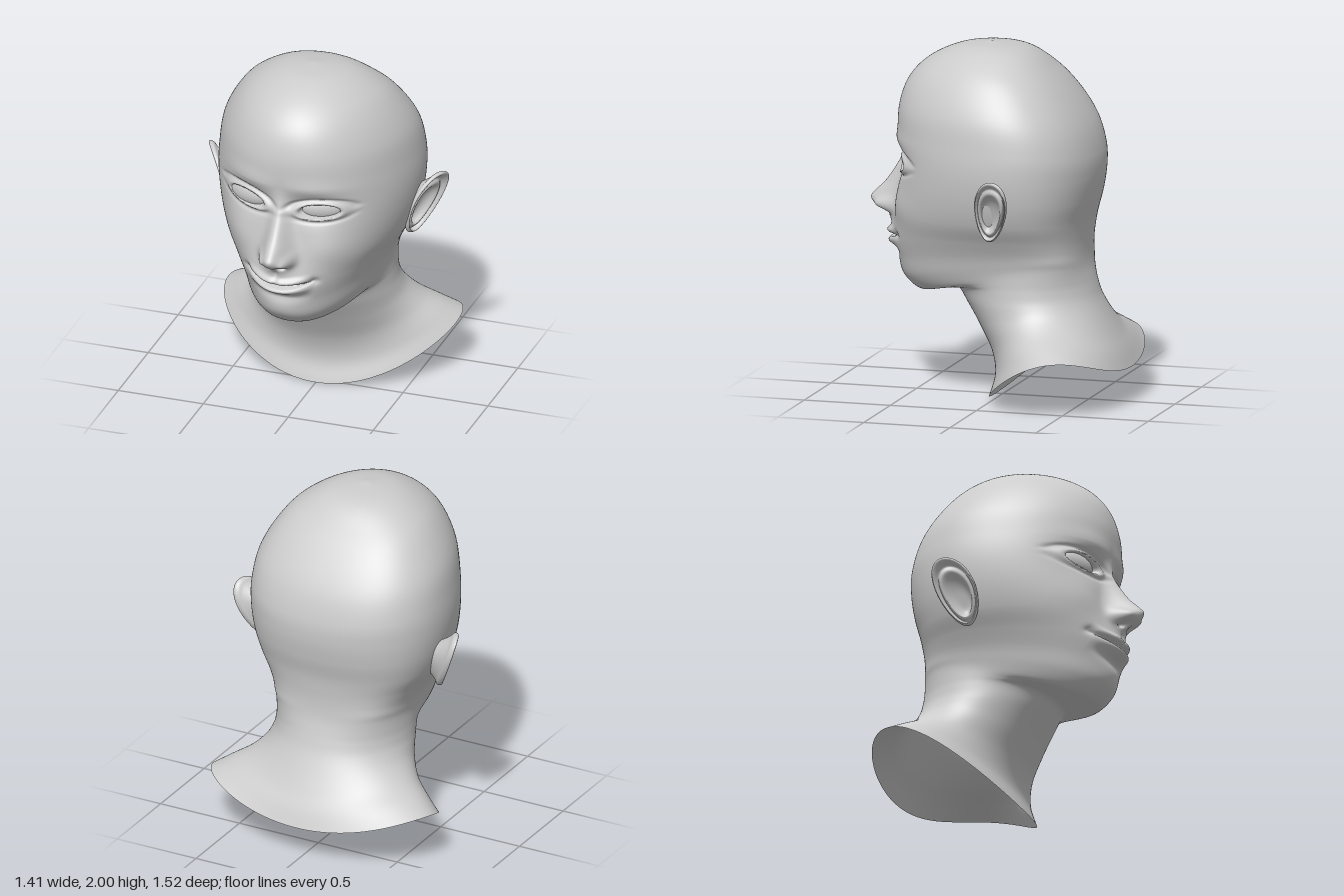
import * as THREE from 'three';
import { mergeVertices } from 'three/addons/utils/BufferGeometryUtils.js';

const skin = new THREE.MeshStandardMaterial({ color: 0xcccccc, side: THREE.DoubleSide });

// Smooth surface from a rule: fn(row, column) gives a point
function grid(rows, cols, fn) {
  const pos = [], index = [], n = cols.length;
  rows.forEach((u, i) => cols.forEach((v, j) => {
    pos.push(...fn(u, v));
    if (i < rows.length - 1 && j < n - 1) {
      const a = i * n + j, b = a + n;
      index.push(a, b, a + 1, b, b + 1, a + 1);
    }
  }));
  let geo = new THREE.BufferGeometry();
  geo.setAttribute('position', new THREE.Float32BufferAttribute(pos, 3));
  geo.setIndex(index);
  geo = mergeVertices(geo, 1e-5);
  geo.computeVertexNormals();
  return geo;
}

const range = (n, f) => Array.from({ length: n + 1 }, (_, i) => f(i / n));
const rail = pts => new THREE.CatmullRomCurve3(pts.map(p => new THREE.Vector3(...p)), false, 'catmullrom', 0.5);
const bump = (x, y, cx, cy, rx, ry) => Math.exp(-(((x - cx) / rx) ** 2) - ((y - cy) / ry) ** 2);
const step = THREE.MathUtils.smoothstep;

// Rails of the loft, crown to neckline. Front: roundness, y, z
const front = rail([
  [1, 2, .06], [1, 1.975, .25], [1, 1.895, .42], [.95, 1.78, .53], [.92, 1.63, .58],
  [.88, 1.47, .582], [.82, 1.33, .565], [.77, 1.18, .57], [.76, 1.03, .585], [.78, .9, .59],
  [.82, .78, .58], [.86, .66, .555], [.92, .582, .46], [.95, .61, .34], [.95, .625, .25],
  [.95, .54, .185], [.95, .4, .1], [1, .26, .03], [1, .13, .005], [1, 0, .04]]);
// Side: half width, y, z
const side = rail([
  [0, 2, .06], [.2, 1.97, .02], [.36, 1.88, -.02], [.46, 1.77, -.05], [.54, 1.62, -.08],
  [.57, 1.46, -.1], [.575, 1.32, -.1], [.555, 1.17, -.1], [.515, 1.04, -.1], [.46, .94, -.11],
  [.42, .86, -.13], [.4, .8, -.15], [.39, .755, -.16], [.388, .7, -.17], [.39, .65, -.18],
  [.4, .58, -.2], [.43, .5, -.25], [.5, .425, -.32], [.6, .365, -.38], [.69, .31, -.43]]);
// Back: roundness, y, z
const back = rail([
  [1, 2, .06], [1, 1.96, -.15], [1, 1.84, -.3], [.95, 1.7, -.42], [.92, 1.55, -.51],
  [.9, 1.4, -.555], [.9, 1.28, -.56], [.9, 1.15, -.54], [.92, 1.03, -.51], [.95, .93, -.497],
  [.95, .86, -.493], [.95, .8, -.495], [.95, .75, -.502], [.95, .7, -.515], [.95, .65, -.53],
  [.95, .58, -.555], [.95, .49, -.6], [1, .38, -.66], [1, .29, -.71], [1, .2, -.75]]);
const LAST = 19;

// Nose ridge height by y
const noseKeys = [[.9, 0], [.96, .03], [.995, .07], [1.03, .145], [1.07, .185], [1.1, .172],
  [1.17, .113], [1.27, .054], [1.35, .02], [1.43, 0], [1.5, 0]];
function noseHeight(y) {
  if (y <= .9 || y >= 1.5) return 0;
  const i = noseKeys.findIndex(k => k[0] > y);
  const [y0, h0] = noseKeys[i - 1], [y1, h1] = noseKeys[i];
  const slope = k => {
    const a = noseKeys[Math.max(k - 1, 0)], b = noseKeys[Math.min(k + 1, noseKeys.length - 1)];
    return (b[1] - a[1]) / (b[0] - a[0]);
  };
  const d = y1 - y0, t = (y - y0) / d;
  return h0 * (1 + 2 * t) * (1 - t) ** 2 + slope(i - 1) * d * t * (1 - t) ** 2
    + h1 * t * t * (3 - 2 * t) + slope(i) * d * t * t * (t - 1);
}

const SHIFT = -.025, TILT = .05;   // the face turns and tips slightly
const EYE = { x: .215, y: 1.322 };

// Forward relief of the face
function relief(x, y) {
  const f = x - SHIFT, Y = y + TILT * f, m = Math.abs(f);
  let d = 0;
  // Nose, wings and nostrils
  const w = .052 + .022 * step(1.3 - Y, 0, .22);
  d += noseHeight(Y) * Math.exp(-Math.pow(m / w, 2.3));
  d += .06 * bump(m, Y, .073, 1.045, .03, .036);
  d -= .05 * bump(m, Y, .038, 1.004, .02, .014);
  // Mouth
  d += .045 * bump(f, Y, 0, .9, .2, .12);
  const l = Y - (.875 + .9 * f * f), env = Math.max(0, 1 - (f / .195) ** 2);
  d += env * (.032 * bump(0, l, 0, .026, 1, .02) * (1 - .25 * bump(f, 0, 0, 0, .02, 1))
    + .036 * bump(0, l, 0, -.032, 1, .024) - .02 * bump(0, l, 0, -.085, 1, .03));
  d -= .04 * Math.sqrt(env) * bump(0, l, 0, 0, 1, .009);
  d -= .012 * bump(f, Y, 0, .955, .016, .03);
  d -= .018 * bump(m, Y, .2, .912, .025, .022);
  // Chin, cheeks and brow
  d += .01 * bump(f, Y, 0, .7, .1, .06);
  d += .016 * bump(m, Y, .27, 1.1, .12, .1);
  d += .012 * bump(m, Y, .2, 1.46, .15, .05);
  // Eye sockets, lids and openings
  d -= .034 * bump(m, Y, .19, 1.335, .13, .085);
  const ex = (m - EYE.x) / .108, dy = Y - EYE.y - .008 * ex;
  const r = Math.hypot(ex, dy / (dy > 0 ? .043 : .037));
  d += .018 * Math.exp(-(((r - 1.2) / .25) ** 2));
  d -= .012 * Math.exp(-(((r - 1.75) / .22) ** 2)) * (dy > 0 ? 1 : .5) * step(Math.abs(dy), 0, .03);
  d -= .06 * (1 - step(r, .86, 1.06));
  return d;
}

// Point on the skin: u is the station, a runs from front round to back
function headPoint(u, a) {
  const F = front.getPoint(u / LAST), S = side.getPoint(u / LAST), B = back.getPoint(u / LAST);
  const c = Math.cos(a), s = Math.sin(a);
  const mix = k => S[k] + (F[k] - B[k]) / 2 * c + ((F[k] + B[k]) / 2 - S[k]) * c * c;
  const sharp = c > 0 ? F.x : B.x;
  const x = Math.sign(s) * S.x * Math.pow(Math.abs(s) < 1e-9 ? 0 : Math.abs(s), sharp);
  const y = mix('y');
  let z = mix('z');
  if (c > 0 && u > 2) z += relief(x, y) * step(c, .2, .55) * (1 - step(u, 12, 13));
  return [x, y, z];
}

function makeHead() {
  const rows = [];
  for (let i = 0; i < LAST; i++) {
    const n = i >= 5 && i < 10 ? 21 : 8;
    for (let k = 0; k < n; k++) rows.push(i + k / n);
  }
  rows.push(LAST);
  const cols = range(240, t => {
    const q = 2 * t - 1;
    return Math.sign(q) * Math.PI * Math.pow(Math.abs(q), 1.55);
  });
  return grid(rows, cols, headPoint);
}

// Ear: rings run from the bowl over the rim and back into the head
function makeEar() {
  const profile = new THREE.SplineCurve([
    [0, -.035], [.3, -.033], [.5, -.018], [.64, .008], [.72, .008], [.81, -.004], [.89, .016],
    [.95, .025], [1, .012], [.97, -.008], [.85, -.022], [.62, -.07], [.45, -.12],
  ].map(p => new THREE.Vector2(...p)));
  return grid(range(48, t => t), range(64, t => t * Math.PI * 2), (t, a) => {
    const p = profile.getPoint(t), r = Math.max(p.x, 0), c = Math.cos(a), s = Math.sin(a);
    const inner = t < .6 ? 1 - r : 0;
    const y = 1.148 + .183 * r * c - .04 * inner;
    const z = -.11 - .03 * r * c + r * s * (.105 + .02 * c) + .02 * inner;
    const h = p.y > 0 ? p.y * (1 - .6 * Math.max(0, s)) : p.y;
    const plane = .573 + .42 * (-z - .03) + .33 * (y - 1.2);
    return [plane + h, y, z];
  });
}

export function createModel() {
  const model = new THREE.Group();
  model.name = 'headBust';
  const add = (name, geo) => {
    const mesh = new THREE.Mesh(geo, skin);
    mesh.name = name;
    model.add(mesh);
    return mesh;
  };
  add('headAndNeck', makeHead());

  const ear = makeEar();
  const ball = new THREE.SphereGeometry(1, 40, 28);
  for (const sgn of [1, -1]) {
    const label = sgn > 0 ? 'left' : 'right';
    const e = add(label + 'Ear', ear);
    e.scale.x = sgn;
    if (sgn < 0) e.position.set(-.008, -.035, 0);

    const eye = add(label + 'Eyeball', ball);
    eye.scale.set(.135, .075, .06);
    eye.position.set(sgn * EYE.x + SHIFT, EYE.y - TILT * sgn * EYE.x, .443);
    eye.rotation.y = sgn * .36;
  }
  return model;
}
